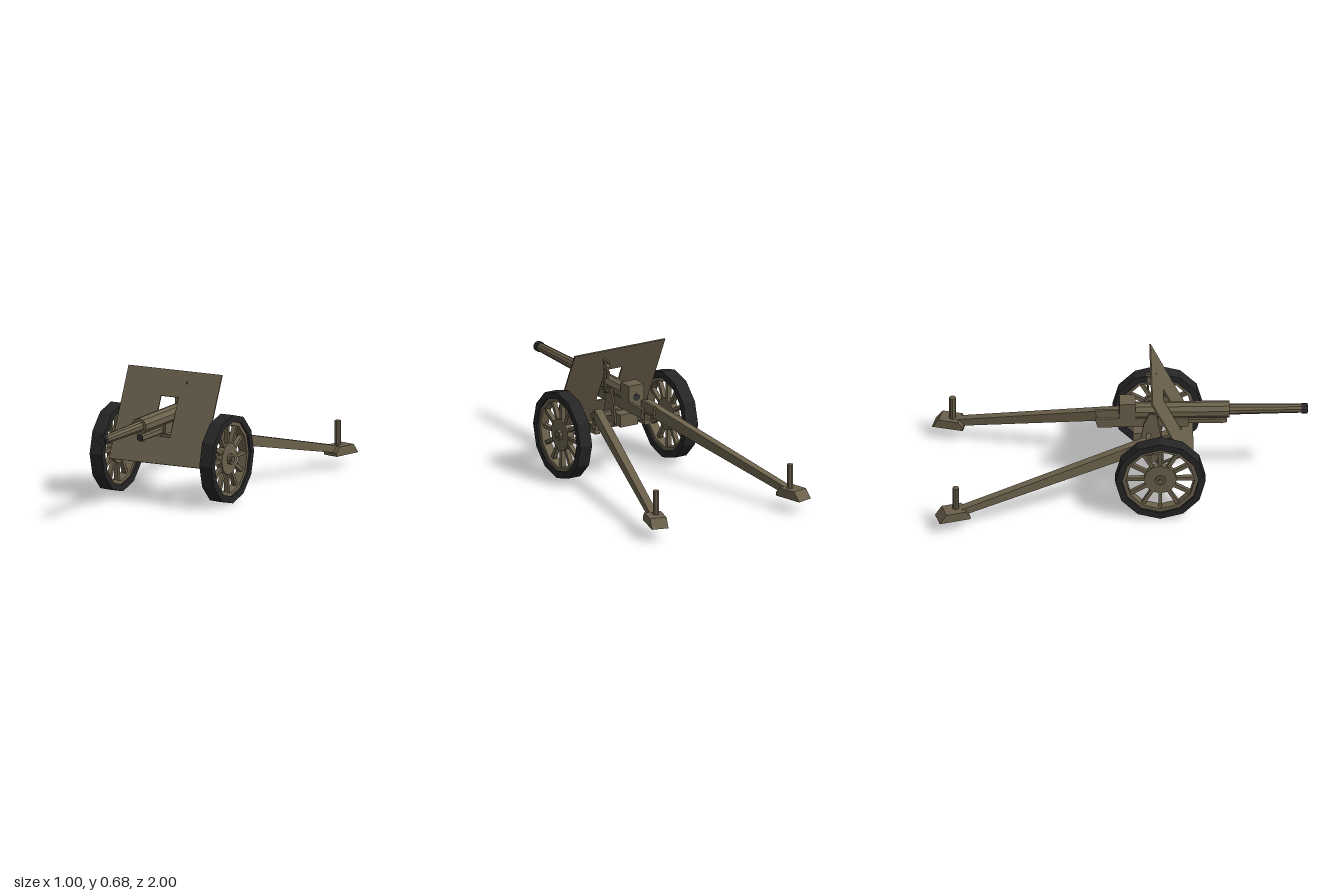
import * as THREE from 'three';

const olive = new THREE.MeshStandardMaterial({ name: 'olive paint', color: 0x6a604b, flatShading: true });
const rubber = new THREE.MeshStandardMaterial({ name: 'black rubber', color: 0x252525, flatShading: true });
const gunmetal = new THREE.MeshStandardMaterial({ name: 'dark gunmetal', color: 0x303030, flatShading: true });

function add(parent, name, geometry, material = olive, x = 0, y = 0, z = 0) {
  const mesh = new THREE.Mesh(geometry, material);
  mesh.name = name;
  mesh.position.set(x, y, z);
  parent.add(mesh);
  return mesh;
}

const box = (parent, name, w, h, d, x, y, z, material) =>
  add(parent, name, new THREE.BoxGeometry(w, h, d), material, x, y, z);

// Cylinder between two points, r0 at the start and r1 at the end
function rod(parent, name, a, b, r0, r1 = r0, sides = 8, material = olive) {
  const p = new THREE.Vector3(...a), q = new THREE.Vector3(...b);
  const dir = q.clone().sub(p);
  const mesh = add(parent, name, new THREE.CylinderGeometry(r1, r0, dir.length(), sides), material);
  mesh.position.copy(p).add(q).multiplyScalar(0.5);
  mesh.quaternion.setFromUnitVectors(new THREE.Vector3(0, 1, 0), dir.normalize());
  return mesh;
}

// Closed ring with a rectangular section, turned around the x axis
function ring(parent, name, inner, outer, width, material) {
  const h = width / 2;
  const profile = [[inner, -h], [outer, -h], [outer, h], [inner, h], [inner, -h]]
    .map(([r, y]) => new THREE.Vector2(r, y));
  const mesh = add(parent, name, new THREE.LatheGeometry(profile, 12), material);
  mesh.rotation.z = Math.PI / 2;
  return mesh;
}

// Twelve-spoke wheel
function wheel(side) {
  const g = new THREE.Group();
  g.name = side > 0 ? 'leftWheel' : 'rightWheel';
  ring(g, 'tyre', 0.204, 0.241, 0.074, rubber);
  ring(g, 'rim', 0.184, 0.206, 0.05, olive);
  rod(g, 'hubDisc', [-0.018, 0, 0], [0.018, 0, 0], 0.088, 0.088, 12);
  rod(g, 'hubCap', [-0.03, 0, 0], [0.034, 0, 0], 0.03, 0.03, 8);
  for (let i = 0; i < 12; i++) {
    const a = i * Math.PI / 6;
    const spoke = box(g, 'spoke', 0.024, 0.12, 0.02, 0, 0.135 * Math.cos(a), 0.135 * Math.sin(a));
    spoke.rotation.x = a;
  }
  g.position.set(side * 0.332, 0.242, 0.204);
  return g;
}

// Sloped shield with the gun opening and two sight slits
function shield() {
  const rect = (Type, x0, y0, x1, y1) => {
    const s = new Type();
    s.moveTo(x0, y0).lineTo(x1, y0).lineTo(x1, y1).lineTo(x0, y1).closePath();
    return s;
  };
  const shape = rect(THREE.Shape, -0.283, -0.26, 0.283, 0.26);
  shape.holes.push(rect(THREE.Path, -0.053, -0.11, 0.053, 0.112));
  for (const y of [0.189, 0.198]) shape.holes.push(rect(THREE.Path, 0.081, y, 0.089, y + 0.005));
  const geo = new THREE.ExtrudeGeometry(shape, { depth: 0.008, bevelEnabled: false });
  geo.translate(0, 0, -0.004);
  const mesh = new THREE.Mesh(geo, olive);
  mesh.name = 'shield';
  mesh.position.set(0, 0.449, 0.273);
  mesh.rotation.x = -0.445;
  return mesh;
}

// Split trail leg with spade and upright handle
function trail(side) {
  const g = new THREE.Group();
  g.name = side > 0 ? 'leftTrail' : 'rightTrail';
  const start = new THREE.Vector3(side * 0.15, 0.338, 0.14);
  const end = new THREE.Vector3(side * 0.418, 0.105, -0.86);
  const length = start.distanceTo(end);
  const beam = new THREE.BoxGeometry(0.042, 0.068, length);
  const p = beam.attributes.position;
  for (let i = 0; i < p.count; i++) if (p.getZ(i) > 0) p.setY(i, p.getY(i) * 0.58);
  beam.computeVertexNormals();
  const mesh = add(g, 'trailBeam', beam);
  mesh.position.copy(start).add(end).multiplyScalar(0.5);
  mesh.lookAt(end);

  // Spade profile runs backwards along its length
  const profile = new THREE.Shape([[-0.075, 0], [0.095, 0], [0.058, 0.05], [-0.05, 0.05], [-0.075, 0.02]]
    .map(([x, y]) => new THREE.Vector2(x, y)));
  const geo = new THREE.ExtrudeGeometry(profile, { depth: 0.092, bevelEnabled: false });
  geo.translate(0, 0, -0.046);
  geo.rotateY(Math.PI / 2);
  const spade = add(g, 'spade', geo, olive, side * 0.429, 0.073, -0.897);
  spade.rotation.y = -side * 0.262;
  rod(g, 'spadeHandle', [side * 0.42, 0.11, -0.89], [side * 0.42, 0.255, -0.89], 0.0175);
  return g;
}

// Barrel, jacket, breech, recoil gear and cradle
function gun() {
  const g = new THREE.Group();
  g.name = 'gun';
  const y = 0.453;
  rod(g, 'barrel', [0, y, 0.56], [0, y, 0.975], 0.03, 0.024, 10);
  rod(g, 'muzzleRing', [0, y, 0.965], [0, y, 0.997], 0.028, 0.028, 10, gunmetal);
  rod(g, 'bore', [0, y, 0.995], [0, y, 1.0], 0.02, 0.02, 10, gunmetal);
  rod(g, 'barrelJacket', [0, y, 0.03], [0, y, 0.58], 0.046, 0.046, 10);
  box(g, 'breechBlock', 0.094, 0.125, 0.085, 0, 0.459, 0.035);
  rod(g, 'breechPlug', [0, y, 0.0], [0, y, -0.012], 0.022, 0.022, 6, gunmetal);
  rod(g, 'recoilCylinder', [0, 0.39, 0.06], [0, 0.39, 0.545], 0.024, 0.024, 6);
  rod(g, 'recoilCap', [0, 0.39, 0.535], [0, 0.39, 0.565], 0.027, 0.02, 6);
  rod(g, 'recoilCapFace', [0, 0.39, 0.564], [0, 0.39, 0.568], 0.02, 0.02, 6, gunmetal);
  for (const s of [-1, 1]) {
    // Cradle rail, cut at a slant at its rear end
    const rail = new THREE.Shape([[-0.36, 0.375], [0.125, 0.375], [0.14, 0.43], [-0.36, 0.43]]
      .map(([x, v]) => new THREE.Vector2(x, v)));
    const geo = new THREE.ExtrudeGeometry(rail, { depth: 0.016, bevelEnabled: false });
    geo.rotateY(Math.PI / 2);
    add(g, 'cradleRail', geo, olive, s * 0.038 - 0.008, 0, 0);
    rod(g, 'trunnion', [s * 0.035, 0.45, 0.17], [s * 0.068, 0.45, 0.17], 0.014);
  }
  return g;
}

// Axle, saddle, cheeks and shield stays
function carriage() {
  const g = new THREE.Group();
  g.name = 'carriage';
  rod(g, 'axle', [-0.372, 0.242, 0.204], [0.372, 0.242, 0.204], 0.016);
  box(g, 'crossBeam', 0.37, 0.025, 0.024, 0, 0.335, 0.147);
  box(g, 'lowerCrossBeam', 0.37, 0.02, 0.024, 0, 0.275, 0.147);
  box(g, 'saddle', 0.11, 0.07, 0.15, 0, 0.305, 0.14);
  for (const s of [-1, 1]) {
    const cheek = new THREE.Shape([[-0.22, 0.28], [-0.1, 0.28], [-0.12, 0.4], [-0.15, 0.47], [-0.19, 0.47]]
      .map(([x, v]) => new THREE.Vector2(x, v)));
    const geo = new THREE.ExtrudeGeometry(cheek, { depth: 0.01, bevelEnabled: false });
    geo.rotateY(Math.PI / 2);
    add(g, 'cheek', geo, olive, s * 0.062 - 0.005, 0, 0);
    rod(g, 'trailHinge', [s * 0.155, 0.255, 0.147], [s * 0.155, 0.36, 0.147], 0.022);
    box(g, 'axleBracket', 0.03, 0.05, 0.09, s * 0.155, 0.255, 0.18);
    rod(g, 'shieldStay', [s * 0.2, 0.245, 0.204], [s * 0.2, 0.3, 0.342], 0.009, 0.009, 6);
  }
  return g;
}

// Sight beside the gun
function sight() {
  const g = new THREE.Group();
  g.name = 'sight';
  const x = 0.085;
  rod(g, 'sightArm', [0.05, 0.45, 0.17], [x, 0.45, 0.17], 0.009, 0.009, 6);
  box(g, 'sightPost', 0.01, 0.19, 0.01, x, 0.535, 0.178);
  box(g, 'sightHead', 0.014, 0.014, 0.05, x, 0.623, 0.158);
  box(g, 'sightBracket', 0.012, 0.012, 0.05, x, 0.565, 0.158);
  box(g, 'sightEyepiece', 0.014, 0.075, 0.01, x, 0.565, 0.148);
  rod(g, 'sightLens', [x - 0.012, 0.594, 0.158], [x + 0.012, 0.594, 0.158], 0.02);
  return g;
}

export function createModel() {
  const model = new THREE.Group();
  model.name = 'fieldGun';
  model.add(gun(), shield(), carriage(), sight());
  for (const side of [-1, 1]) model.add(wheel(side), trail(side));
  return model;
}
